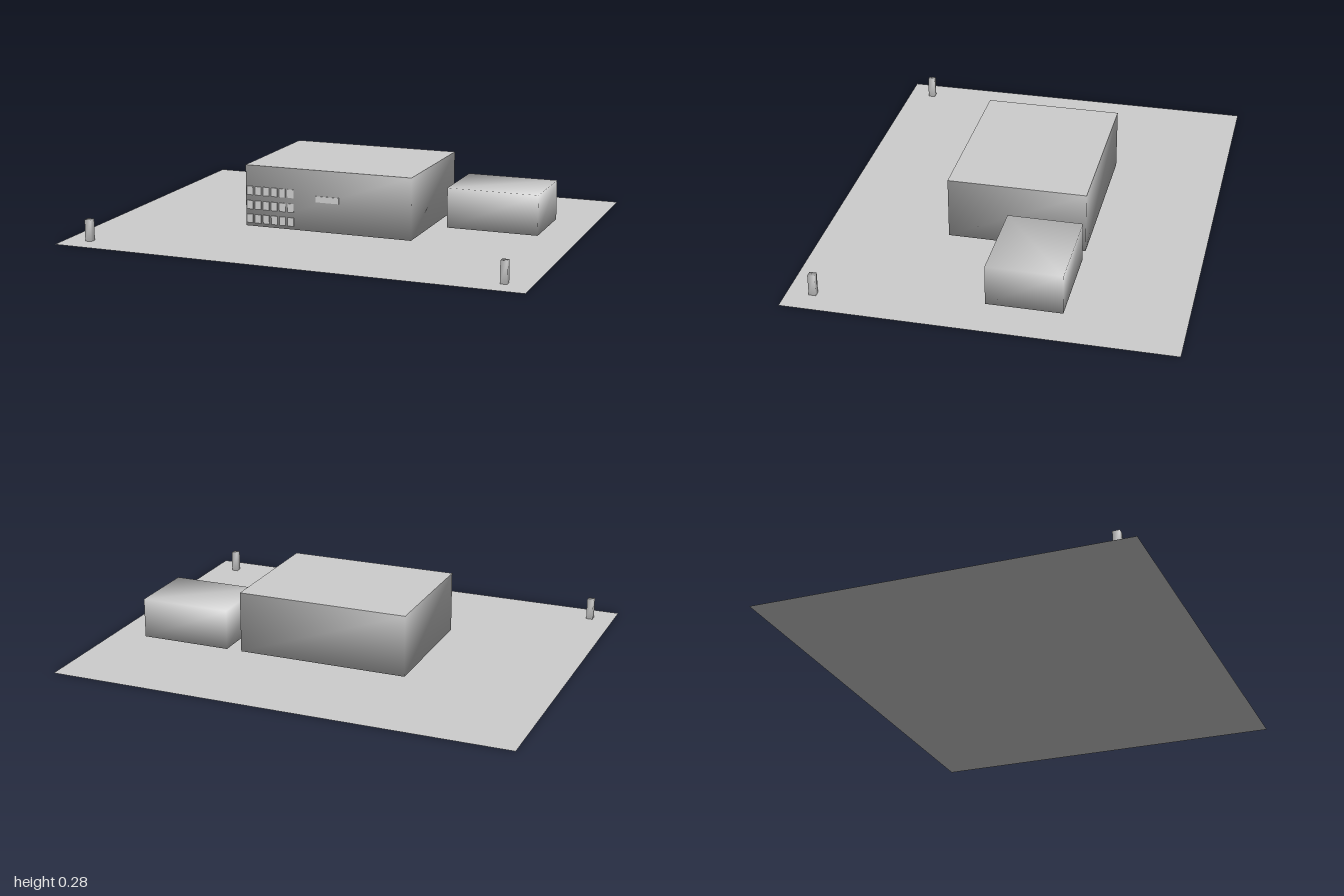
import * as THREE from 'three';
import { mergeVertices } from 'three/addons/utils/BufferGeometryUtils.js';

const concrete = new THREE.MeshStandardMaterial({ color: 0xcccccc });
concrete.name = 'pale grey';
const sheet = new THREE.MeshStandardMaterial({ color: 0xcccccc, side: THREE.DoubleSide });
sheet.name = 'pale grey sheet';

// Box given by its limits; corners share normals, and the top can be left open
function softBox(x0, x1, y0, y1, z0, z1, openTop = false) {
  let geo = new THREE.BoxGeometry(x1 - x0, y1 - y0, z1 - z0);
  geo.translate((x0 + x1) / 2, (y0 + y1) / 2, (z0 + z1) / 2);
  if (openTop) {
    const index = Array.from(geo.index.array);
    index.splice(12, 6);
    geo.setIndex(index);
  }
  geo.clearGroups();
  geo.deleteAttribute('normal');
  geo.deleteAttribute('uv');
  geo = mergeVertices(geo);
  geo.computeVertexNormals();
  return geo;
}

export function createModel() {
  const model = new THREE.Group();
  model.name = 'buildingSite';

  function add(name, geo, material, x = 0, y = 0, z = 0) {
    const mesh = new THREE.Mesh(geo, material);
    mesh.name = name;
    mesh.position.set(x, y, z);
    model.add(mesh);
    return mesh;
  }

  // Flat plot of land
  add('ground', new THREE.PlaneGeometry(2, 1.6).rotateX(-Math.PI / 2), sheet);

  // Main hall with a flat roof
  add('hallWalls', softBox(-0.375, 0.37, 0.015, 0.28, -0.315, 0.27, true), concrete);
  add('hallRoof', new THREE.PlaneGeometry(0.745, 0.585).rotateX(-Math.PI / 2), sheet, -0.0025, 0.28, -0.0225);

  // Side building
  add('annex', softBox(0.438, 0.835, 0.015, 0.188, -0.315, 0), concrete);

  // Three rows of six windows on the front
  const pane = new THREE.BoxGeometry(0.028, 0.037, 0.004);
  for (const y of [0.17, 0.108, 0.048]) {
    for (let i = 0; i < 6; i++) {
      add('window', pane, concrete, -0.356 + i * 0.0375, y, 0.271);
    }
  }

  // Blank sign plate on the front
  add('signPlate', new THREE.BoxGeometry(0.105, 0.026, 0.004), concrete, -0.002, 0.156, 0.271);

  // Gate posts at the front corners
  for (const x of [-0.896, 0.89]) {
    add('gatePost', softBox(-0.014, 0.014, 0, 0.092, -0.015, 0.015), concrete, x, 0, 0.692);
  }

  return model;
}
